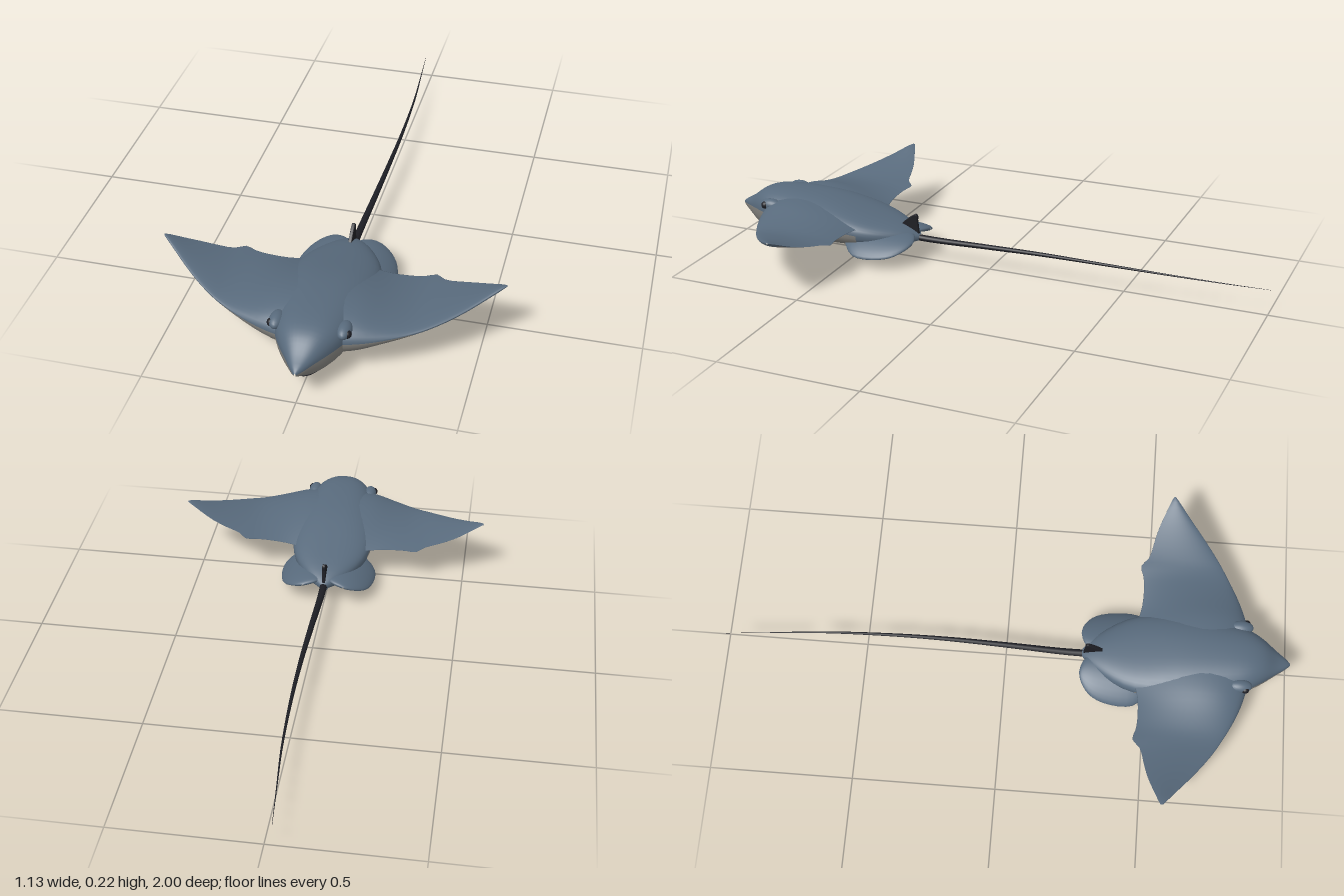
import * as THREE from 'three';

const slate = new THREE.MeshStandardMaterial({ name: 'slate blue skin', color: 0x586a7c });
const pale = new THREE.MeshStandardMaterial({ name: 'pale belly', color: 0x807f7b });
const dark = new THREE.MeshStandardMaterial({ name: 'dark tail', color: 0x1d1e24 });

// Skin closed rings of points; pick(i, j) returns the material index of a quad.
function loft(rings, flip = false, pick = () => 0) {
  const n = rings[0].length, lists = [[], []];
  for (let i = 0; i < rings.length - 1; i++) for (let j = 0; j < n; j++) {
    const a = i * n + j, b = i * n + (j + 1) % n, c = a + n, d = b + n;
    lists[pick(i, j)].push(...(flip ? [a, b, c, b, d, c] : [a, c, b, b, c, d]));
  }
  const geo = new THREE.BufferGeometry();
  geo.setAttribute('position', new THREE.Float32BufferAttribute(rings.flat(2), 3));
  geo.setIndex(lists.flat());
  geo.addGroup(0, lists[0].length, 0);
  geo.addGroup(lists[0].length, lists[1].length, 1);
  geo.computeVertexNormals();
  return geo;
}

// Linear refinement of a station table, softened by a short smoothing pass.
function refine(rows, k) {
  const out = [];
  for (let i = 0; i < rows.length - 1; i++) for (let s = 0; s < k; s++)
    out.push(rows[i].map((v, c) => v + (rows[i + 1][c] - v) * s / k));
  out.push(rows[rows.length - 1]);
  return out.map((r, i) => (i === 0 || i === out.length - 1) ? r
    : r.map((v, c) => (out[i - 1][c] + 2 * v + out[i + 1][c]) / 4));
}

const spow = (v, p) => Math.sign(v) * Math.pow(Math.abs(v), p);

// z, half width, top, bottom, colour line height
const BODY = [
  [1, .003, .117, .108, .112], [.985, .018, .13, .095, .114], [.96, .035, .142, .078, .117],
  [.935, .053, .16, .058, .12], [.91, .072, .181, .047, .123], [.88, .092, .195, .04, .126],
  [.84, .113, .203, .036, .126], [.78, .126, .205, .036, .125], [.7, .14, .202, .036, .122],
  [.6, .15, .192, .036, .118], [.5, .15, .167, .04, .11], [.42, .13, .147, .048, .1],
  [.35, .09, .13, .055, .092], [.3, .05, .112, .06, .088], [.27, .012, .092, .07, .082],
];

// x, leading z, trailing z, edge height, rise above edge, depth below edge
const WING = [
  [0, .87, .42, .125, .07, .085], [.1, .85, .45, .125, .066, .08], [.15, .838, .468, .127, .055, .068],
  [.2, .82, .474, .13, .036, .05], [.25, .797, .474, .133, .022, .034], [.29, .775, .47, .136, .014, .025],
  [.325, .755, .453, .141, .011, .021], [.35, .74, .488, .146, .01, .019], [.4, .705, .498, .157, .01, .016],
  [.46, .657, .513, .176, .009, .013], [.51, .613, .534, .197, .008, .01], [.55, .58, .551, .216, .006, .007],
  [.565, .566, .559, .221, .002, .002],
];

// z, inner x, outer x, half thickness
const PELVIC = [
  [.53, 0, .1, .004], [.48, 0, .165, .016], [.44, 0, .178, .02], [.38, 0, .175, .02], [.33, 0, .163, .018],
  [.3, .008, .145, .015], [.28, .025, .122, .011], [.268, .05, .1, .007], [.264, .072, .078, .002],
];

function bodyGeometry() {
  const n = 40, rows = refine(BODY, 2);
  const rings = rows.map(([z, w, top, bottom, mid]) => Array.from({ length: n }, (_, j) => {
    const a = j / n * Math.PI * 2, s = spow(Math.sin(a), .85);
    return [w * spow(Math.cos(a), .85), mid + s * (s > 0 ? top - mid : mid - bottom), z];
  }));
  return loft(rings, false, (i, j) => (j >= n / 2 && rows[i][0] > .49 ? 1 : 0));
}

function wingGeometry(side) {
  const h = 20, rows = refine(WING, 2);
  const rings = rows.map(([x, lead, trail, edge, up, down]) => Array.from({ length: 2 * h }, (_, j) => {
    const t = (1 - Math.cos(Math.PI * j / h)) / 2;
    const bulge = Math.sqrt(t) * (1 - t) / .385;
    return [side * x, edge + bulge * (j <= h ? up : -down), lead + (trail - lead) * t];
  }));
  // The slate back wraps round the tip and the trailing edge underneath.
  return loft(rings, side > 0 ? false : true, (i, j) => {
    const under = j >= h, x = rows[i][0];
    const t = (1 - Math.cos(Math.PI * (j + .5) / h)) / 2;
    return under && x < .5 && t < .86 && t > (x > .3 ? .05 : 0) ? 1 : 0;
  });
}

function pelvicGeometry(side) {
  const n = 24;
  const rings = refine(PELVIC, 2).map(([z, inner, outer, thick]) => Array.from({ length: n }, (_, j) => {
    const a = j / n * Math.PI * 2;
    const x = (inner + outer) / 2 + (outer - inner) / 2 * Math.cos(a);
    return [side * x, .096 - .052 * (x / .17) ** 2 + thick * Math.sin(a), z];
  }));
  return loft(rings, side < 0);
}

// Whip tail, tapering along a gentle curve
function tailGeometry() {
  const curve = new THREE.CatmullRomCurve3([
    [0, .08, .33], [0, .078, .22], [.006, .086, 0], [.01, .092, -.2], [.01, .092, -.4],
    [.002, .088, -.65], [-.012, .083, -.83], [-.026, .08, -1],
  ].map(p => new THREE.Vector3(...p)));
  const n = 10, steps = 48;
  const rings = Array.from({ length: steps + 1 }, (_, i) => {
    const c = curve.getPointAt(i / steps), r = .0005 + .0135 * Math.pow(1 - i / steps, 1.1);
    return Array.from({ length: n }, (_, j) => {
      const a = j / n * Math.PI * 2;
      return [c.x + r * Math.cos(a), c.y + r * .85 * Math.sin(a), c.z];
    });
  });
  return loft(rings);
}

export function createModel() {
  const ray = new THREE.Group();
  ray.name = 'ray';
  const add = (name, geo, mat, x = 0, y = 0, z = 0) => {
    const mesh = new THREE.Mesh(geo, mat);
    mesh.name = name;
    mesh.position.set(x, y, z);
    ray.add(mesh);
    return mesh;
  };
  const skin = [slate, pale];

  add('body', bodyGeometry(), skin);
  add('tail', tailGeometry(), dark);

  for (const side of [1, -1]) {
    const label = side > 0 ? 'left' : 'right';
    add(label + 'Wing', wingGeometry(side), skin);
    add(label + 'PelvicFin', pelvicGeometry(side), skin);
    // Brow ridge with the eye set into its outer front
    add(label + 'Brow', new THREE.SphereGeometry(1, 20, 14), slate, side * .108, .163, .82).scale.set(.024, .022, .042);
    add(label + 'Eye', new THREE.SphereGeometry(.014, 16, 12), dark, side * .121, .163, .838);
  }

  // Small swept dorsal fin at the tail root
  const finShape = new THREE.Shape();
  finShape.moveTo(-.36, .1);
  finShape.quadraticCurveTo(-.325, .145, -.288, .165);
  finShape.quadraticCurveTo(-.278, .163, -.282, .145);
  finShape.lineTo(-.275, .085);
  const fin = new THREE.ExtrudeGeometry(finShape, {
    depth: .006, bevelEnabled: true, bevelSize: .002, bevelThickness: .003, bevelSegments: 2, curveSegments: 8,
  });
  fin.translate(0, 0, -.003);
  fin.rotateY(Math.PI / 2);
  add('dorsalFin', fin, dark);

  // Ventral keel between the pelvic fins, swept backwards
  const keel = new THREE.ConeGeometry(.045, .075, 24, 4);
  keel.rotateX(Math.PI);
  const p = keel.attributes.position;
  for (let i = 0; i < p.count; i++) p.setZ(i, p.getZ(i) + (p.getY(i) - .0375) * .8);
  keel.computeVertexNormals();
  add('ventralKeel', keel, slate, 0, .0375, .425);

  // Mouth line under the snout
  const mouth = new THREE.QuadraticBezierCurve3(
    new THREE.Vector3(-.042, .056, .9), new THREE.Vector3(0, .056, .968), new THREE.Vector3(.042, .056, .9));
  add('mouth', new THREE.TubeGeometry(mouth, 16, .004, 8), dark);
  return ray;
}
